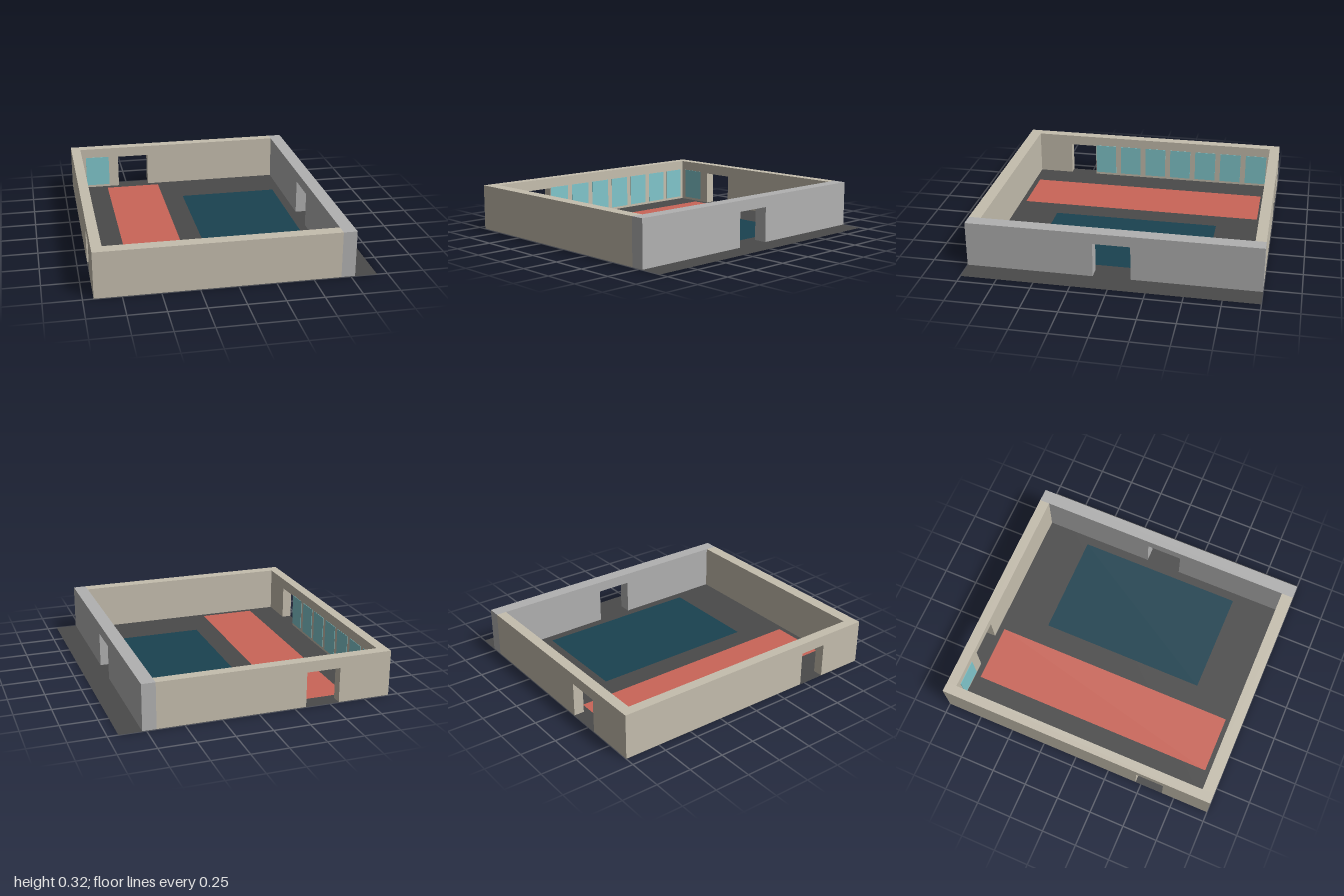
import * as THREE from 'three';

const HEIGHT = 0.32, DOOR_HEIGHT = 0.245, LIFT = 0.002;
const paint = (color) => new THREE.MeshStandardMaterial({ color, side: THREE.DoubleSide });

// Upright slab running from u0 to u1, with an optional doorway [d0, d1] cut up from the floor
function wallGeometry(u0, u1, thickness, door) {
  const s = new THREE.Shape();
  s.moveTo(u0, LIFT);
  if (door) {
    s.lineTo(door[0], LIFT);
    s.lineTo(door[0], DOOR_HEIGHT);
    s.lineTo(door[1], DOOR_HEIGHT);
    s.lineTo(door[1], LIFT);
  }
  s.lineTo(u1, LIFT);
  s.lineTo(u1, HEIGHT);
  s.lineTo(u0, HEIGHT);
  s.closePath();
  return new THREE.ExtrudeGeometry(s, { depth: thickness, bevelEnabled: false });
}

export function createModel() {
  const group = new THREE.Group();
  const beige = paint(0xc5beae), grey = paint(0xb1b1b1), dark = paint(0x4a4a4a);
  const red = paint(0xca6558), blue = paint(0x1a4250), teal = paint(0x80c6cb);

  const add = (name, geometry, material) => {
    const mesh = new THREE.Mesh(geometry, material);
    mesh.name = name;
    group.add(mesh);
  };
  // Flat rectangle lying at height y
  const sheet = (name, x0, x1, z0, z1, y, material) => add(name,
    new THREE.PlaneGeometry(x1 - x0, z1 - z0).rotateX(-Math.PI / 2)
      .translate((x0 + x1) / 2, y, (z0 + z1) / 2), material);
  // Wall along x, and wall along z
  const wallX = (name, x0, x1, z0, z1, material, door) => add(name,
    wallGeometry(x0, x1, z1 - z0, door).translate(0, 0, z0), material);
  const wallZ = (name, x0, x1, z0, z1, material, door) => add(name,
    wallGeometry(z0, z1, x1 - x0, door).rotateY(-Math.PI / 2).translate(x1, 0, 0), material);

  // Floor and its coloured areas
  sheet('floor', -0.93, 0.93, -1, 1, 0, dark);
  sheet('redCarpet', -0.66, -0.255, -0.887, 0.88, 0.003, red);
  sheet('blueCarpet', -0.1, 0.624, -0.6, 0.596, 0.003, blue);

  // Walls
  wallX('frontWall', -0.86, 0.685, 0.916, 1, beige);
  wallX('backWall', -0.86, 0.685, -1, -0.928, beige, [-0.565, -0.33]);
  wallZ('sideWall', -0.93, -0.86, -1, 1, beige, [0.46, 0.66]);
  wallZ('entranceWall', 0.685, 0.778, -1, 1, grey, [-0.125, 0.13]);

  // Window panes on the inner faces
  const y0 = 0.02, y1 = 0.25, paneY = (y0 + y1) / 2;
  for (let i = 0; i < 7; i++) {
    add('sideWindow', new THREE.BoxGeometry(0.004, y1 - y0, 0.16)
      .translate(-0.859, paneY, -0.825 + i * 0.2), teal);
  }
  add('backWindow', new THREE.BoxGeometry(0.18, y1 - y0, 0.004)
    .translate(-0.73, paneY, -0.927), teal);

  return group;
}
